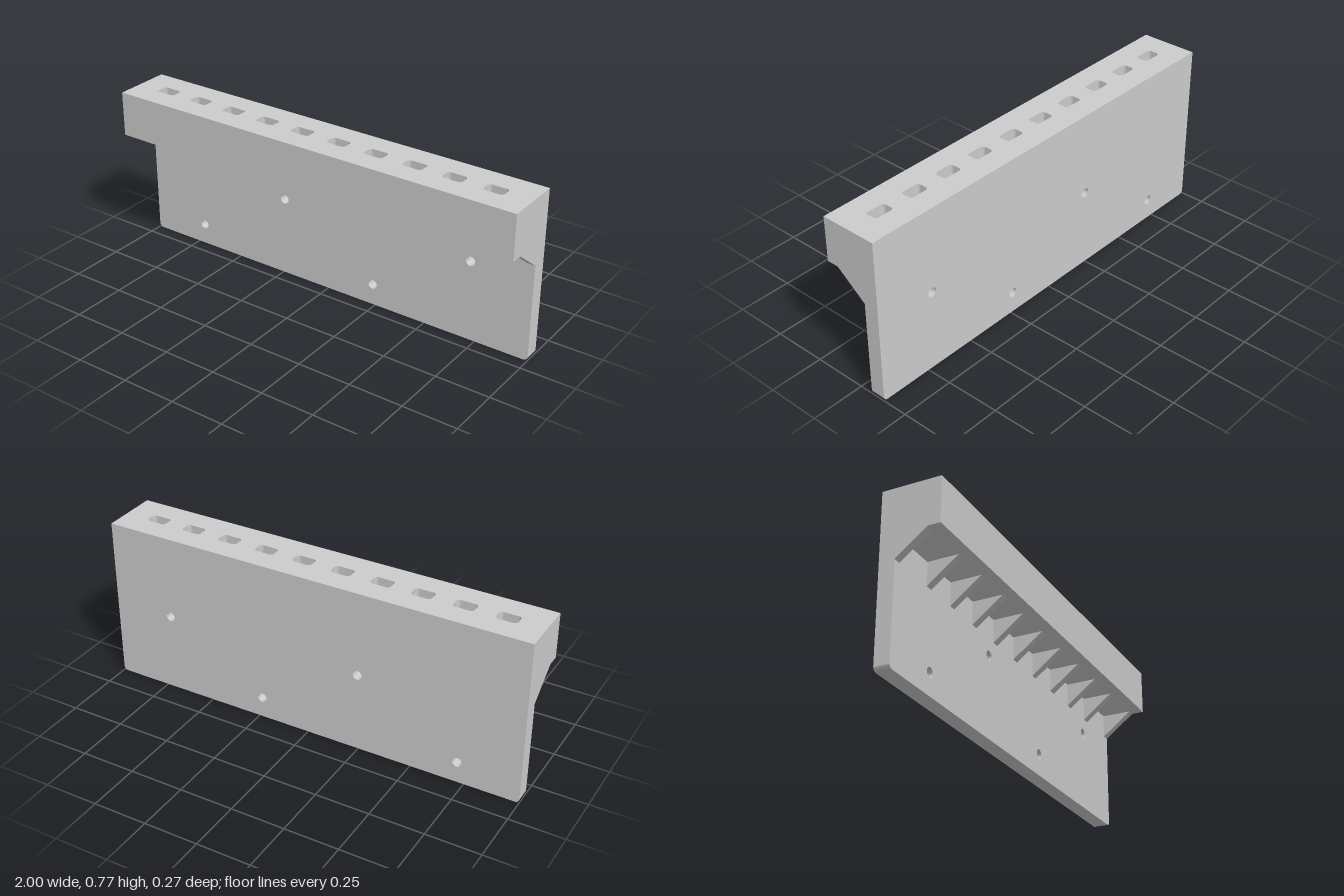
import * as THREE from 'three';

const BACK = -0.133, PLATE_FRONT = -0.063, FRONT = 0.133;
const TOP = 0.768, LEDGE = 0.56, SLOT_FLOOR = 0.62;

// Rounded rectangle drawn into a Shape or Path, centred on (cx, cy)
function roundedRect(path, cx, cy, w, h, r) {
  const x = cx - w / 2, y = cy - h / 2;
  path.moveTo(x + r, y);
  path.lineTo(x + w - r, y);
  path.absarc(x + w - r, y + r, r, -Math.PI / 2, 0);
  path.lineTo(x + w, y + h - r);
  path.absarc(x + w - r, y + h - r, r, 0, Math.PI / 2);
  path.lineTo(x + r, y + h);
  path.absarc(x + r, y + h - r, r, Math.PI / 2, Math.PI);
  path.lineTo(x, y + r);
  path.absarc(x + r, y + r, r, Math.PI, Math.PI * 1.5);
  return path;
}

export function createModel() {
  const group = new THREE.Group();
  const material = new THREE.MeshStandardMaterial({ color: 0xcccccc });
  const add = (name, geometry) => {
    const mesh = new THREE.Mesh(geometry, material);
    mesh.name = name;
    group.add(mesh);
    return mesh;
  };

  // Back plate: rounded lower corners and four screw holes
  const r = 0.02;
  const plate = new THREE.Shape();
  plate.moveTo(-1 + r, 0);
  plate.lineTo(1 - r, 0);
  plate.absarc(1 - r, r, r, -Math.PI / 2, 0);
  plate.lineTo(1, TOP);
  plate.lineTo(-1, TOP);
  plate.lineTo(-1, r);
  plate.absarc(-1 + r, r, r, Math.PI, Math.PI * 1.5);
  for (const [x, y] of [[-0.24, 0.375], [0.71, 0.375], [-0.715, 0.1], [0.235, 0.1]]) {
    plate.holes.push(new THREE.Path().absarc(x, y, 0.022, 0, Math.PI * 2, true));
  }
  add('backPlate', new THREE.ExtrudeGeometry(plate, {
    depth: PLATE_FRONT - BACK, bevelEnabled: false, curveSegments: 16,
  })).position.z = BACK;

  // Upper rail with a row of ten slots (shape y becomes -z)
  const rail = new THREE.Shape();
  rail.moveTo(-1, -FRONT);
  rail.lineTo(1, -FRONT);
  rail.lineTo(1, -PLATE_FRONT);
  rail.lineTo(-1, -PLATE_FRONT);
  rail.closePath();
  for (let i = 0; i < 10; i++) {
    rail.holes.push(roundedRect(new THREE.Path(), (i - 4.5) * 0.186, 0, 0.093, 0.058, 0.016));
  }
  const railGeometry = new THREE.ExtrudeGeometry(rail, {
    depth: TOP - SLOT_FLOOR, bevelEnabled: false, curveSegments: 6,
  }).rotateX(-Math.PI / 2);
  add('slottedRail', railGeometry).position.y = SLOT_FLOOR;

  // Solid base of the rail, closing the slots from below
  add('railBase', new THREE.BoxGeometry(2, SLOT_FLOOR - LEDGE, FRONT - PLATE_FRONT))
    .position.set(0, (SLOT_FLOOR + LEDGE) / 2, (FRONT + PLATE_FRONT) / 2);

  // Sloped ribs under the rail: one flush with each end, the rest between the slots
  const rib = new THREE.Shape();
  rib.moveTo(-PLATE_FRONT, 0.452);
  rib.lineTo(-PLATE_FRONT, LEDGE);
  rib.lineTo(-0.077, LEDGE);
  rib.closePath();
  const ribWidth = 0.035;
  const ribGeometry = new THREE.ExtrudeGeometry(rib, { depth: ribWidth, bevelEnabled: false })
    .rotateY(Math.PI / 2).rotateY(0).translate(-ribWidth / 2, 0, 0);
  for (let i = -5; i <= 5; i++) {
    const x = Math.abs(i) === 5 ? Math.sign(i) * (1 - ribWidth / 2) : i * 0.186;
    add('rib', ribGeometry).position.x = x;
  }
  return group;
}
